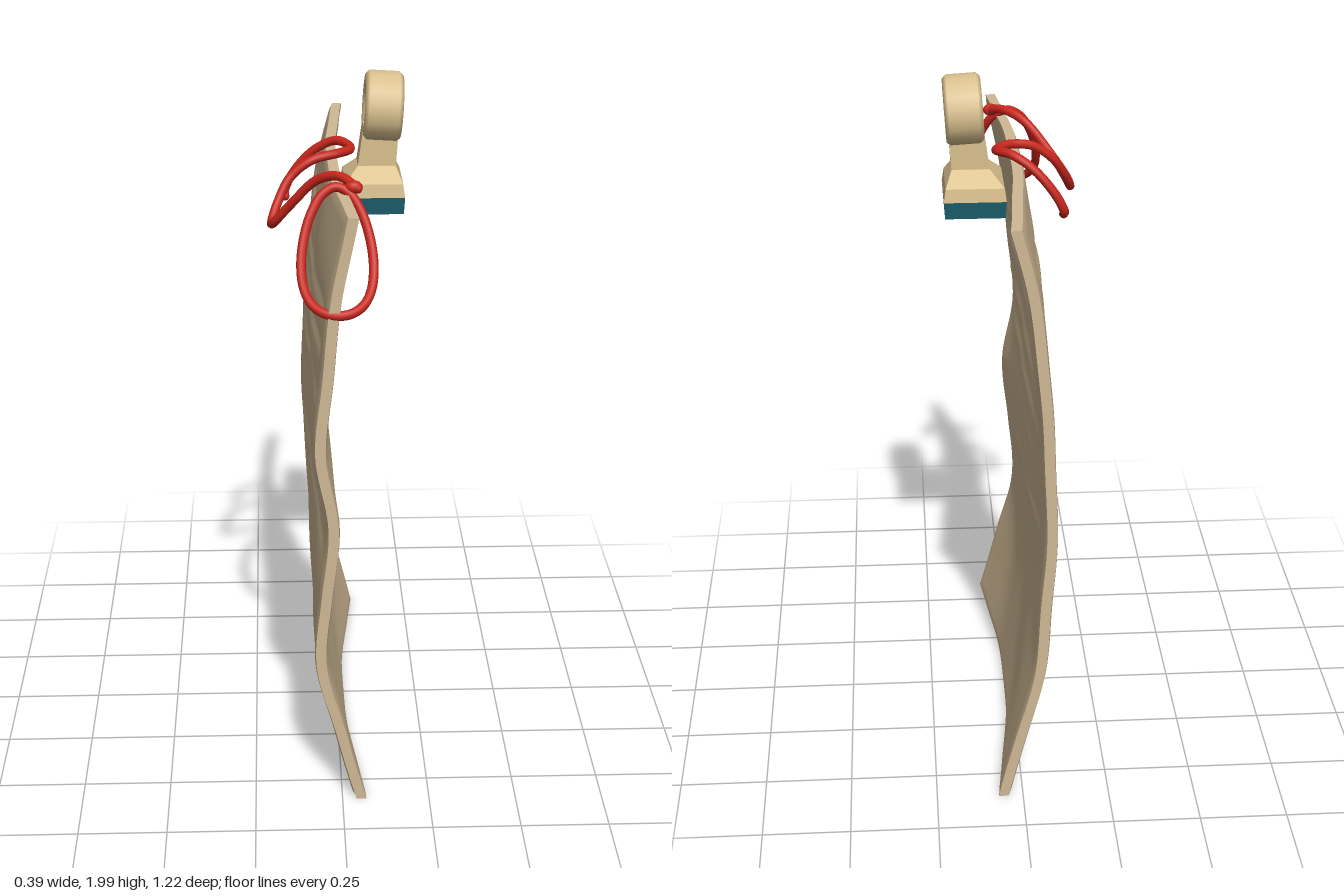
import * as THREE from 'three';

const mat = (name, color) => {
  const m = new THREE.MeshStandardMaterial({ color });
  m.name = name;
  return m;
};

// Smooth curve through evenly spaced heights 0 .. 1.76
const heights = Array.from({ length: 9 }, (_, i) => i * 0.22);
const profile = (values) => {
  const c = new THREE.CubicInterpolant(heights, values, 1, [0]);
  return (y) => c.evaluate(Math.min(Math.max(y, 0), 1.76))[0];
};
const frontEdge = profile([0.058, 0, -0.06, -0.045, -0.028, -0.06, -0.04, -0.015, 0.025]);
const middle = profile([0.01, -0.03, -0.055, -0.06, -0.05, -0.055, -0.06, -0.045, -0.012]);
const backEdge = profile([0.058, 0.005, -0.05, -0.065, -0.08, -0.07, -0.055, -0.03, 0.022]);

// Horizontal creases: height, z from, z to, depth
const creases = [
  [1.58, -0.48, -0.08, 0.009], [1.47, -0.5, 0.5, 0.006], [1.36, -0.5, 0.5, 0.007],
  [1.23, -0.5, 0.52, 0.006], [1.12, -0.52, 0.5, 0.006], [0.99, -0.5, 0.1, 0.003],
  [0.8, -0.5, 0.52, 0.004],
];

function sheetOffset(y, z) {
  const s = z / 0.6;
  let x = frontEdge(y) * s * (s + 1) / 2 + middle(y) * (1 - s * s) + backEdge(y) * s * (s - 1) / 2;
  for (const [cy, z0, z1, depth] of creases) {
    const span = THREE.MathUtils.smoothstep(z, z0 - 0.04, z0 + 0.06) *
      (1 - THREE.MathUtils.smoothstep(z, z1 - 0.06, z1 + 0.04));
    const d = (y - cy - 0.008 * Math.sin(z * 9 + cy * 7)) / 0.02;
    x += depth * span * Math.exp(-d * d);
  }
  return x + 0.003 * Math.sin(z * 11 + y * 5) * Math.sin(y * 9 - z * 4);
}

// Crumpled sheet with a softened rim
function makeSheet() {
  const g = new THREE.BoxGeometry(0.036, 1.75, 1.21, 3, 110, 60);
  const p = g.attributes.position;
  for (let i = 0; i < p.count; i++) {
    const y = p.getY(i) + 0.885, z = p.getZ(i) - 0.005;
    const rim = Math.min(y - 0.01, 1.76 - y, 0.605 - Math.abs(p.getZ(i)));
    const thick = rim < 0.006 ? 0.8 : 1;
    p.setXYZ(i, p.getX(i) * thick + sheetOffset(y, z), y, z);
  }
  g.computeVertexNormals();
  return g;
}

// Box whose top is resized and shifted sideways
function taperedBox(w0, d0, w1, d1, h, shift = 0) {
  const g = new THREE.BoxGeometry(w0, h, d0);
  const p = g.attributes.position;
  for (let i = 0; i < p.count; i++) {
    if (p.getY(i) > 0) p.setXYZ(i, p.getX(i) * w1 / w0 + shift, h, p.getZ(i) * d1 / d0);
    else p.setY(i, 0);
  }
  g.computeVertexNormals();
  return g;
}

export function createModel() {
  const paper = mat('paper tan', 0xcfb894);
  const wood = mat('clip tan', 0xd9c08e);
  const teal = mat('jaw teal', 0x1a5a6a);
  const red = mat('cord red', 0xc8261c);
  const model = new THREE.Group();
  model.name = 'clippedSheet';

  const add = (parent, name, geo, material, x = 0, y = 0, z = 0) => {
    const m = new THREE.Mesh(geo, material);
    m.name = name;
    m.position.set(x, y, z);
    parent.add(m);
    return m;
  };

  add(model, 'sheet', makeSheet(), paper);

  // Clip: teal pad, tapered jaw, neck and ring
  const clip = new THREE.Group();
  clip.name = 'clip';
  model.add(clip);
  const cz = -0.01;
  add(clip, 'jawPad', taperedBox(0.17, 0.196, 0.176, 0.2, 0.048), teal, 0.104, 1.612, cz);
  add(clip, 'jaw', taperedBox(0.176, 0.2, 0.165, 0.19, 0.038), wood, 0.104, 1.66, cz);
  add(clip, 'jawShoulder', taperedBox(0.165, 0.19, 0.108, 0.09, 0.04, 0.01), wood, 0.104, 1.698, cz);
  add(clip, 'neck', taperedBox(0.108, 0.084, 0.1, 0.084, 0.115, 0.012), wood, 0.114, 1.735, cz);

  const section = [
    [0.052, -0.042], [0.062, -0.053], [0.088, -0.053], [0.099, -0.042], [0.099, 0.042],
    [0.088, 0.053], [0.062, 0.053], [0.052, 0.042], [0.052, -0.042],
  ].map(([r, h]) => new THREE.Vector2(r, h));
  const ring = add(clip, 'ring', new THREE.LatheGeometry(section, 20), wood, 0.132, 1.9, cz);
  ring.rotation.z = -Math.PI / 2 - 0.06;
  add(clip, 'ringPin', new THREE.CylinderGeometry(0.008, 0.008, 0.07, 8), wood, 0.1, 1.87, cz);

  // Cord: a hanging loop, a knot and a loose tail
  const cord = new THREE.Group();
  cord.name = 'cord';
  model.add(cord);
  const loopPoints = Array.from({ length: 16 }, (_, i) => {
    const a = i / 16 * Math.PI * 2;
    return new THREE.Vector3(-0.012 + 0.096 * Math.sin(a),
      1.635 + 0.143 * Math.cos(a) - 0.045 * Math.sin(a) ** 2, 0.485 - 0.108 * Math.cos(a));
  });
  const loop = new THREE.CatmullRomCurve3(loopPoints, true);
  add(cord, 'cordLoop', new THREE.TubeGeometry(loop, 90, 0.013, 10, true), red);
  const knot = add(cord, 'cordKnot', new THREE.SphereGeometry(0.02, 14, 10), red, 0.035, 1.778, 0.38);
  knot.scale.set(1.2, 0.9, 0.9);

  const tailPoints = [
    [0.045, 1.775, 0.385], [0, 1.793, 0.33], [-0.06, 1.77, 0.28], [-0.13, 1.69, 0.235],
    [-0.178, 1.625, 0.195], [-0.185, 1.612, 0.155], [-0.165, 1.66, 0.105], [-0.13, 1.72, 0.075],
    [-0.07, 1.765, 0.065], [0, 1.778, 0.045], [0.04, 1.778, 0], [0.035, 1.783, -0.03],
    [0, 1.785, -0.07], [-0.06, 1.75, -0.1], [-0.12, 1.68, -0.115], [-0.145, 1.63, -0.11],
    [-0.145, 1.615, -0.09],
  ].map((v) => new THREE.Vector3(...v));
  const tail = new THREE.CatmullRomCurve3(tailPoints);
  add(cord, 'cordTail', new THREE.TubeGeometry(tail, 140, 0.013, 10), red);
  for (const end of [tailPoints[0], tailPoints[tailPoints.length - 1]]) {
    add(cord, 'cordEnd', new THREE.SphereGeometry(0.013, 10, 8), red, end.x, end.y, end.z);
  }
  return model;
}
